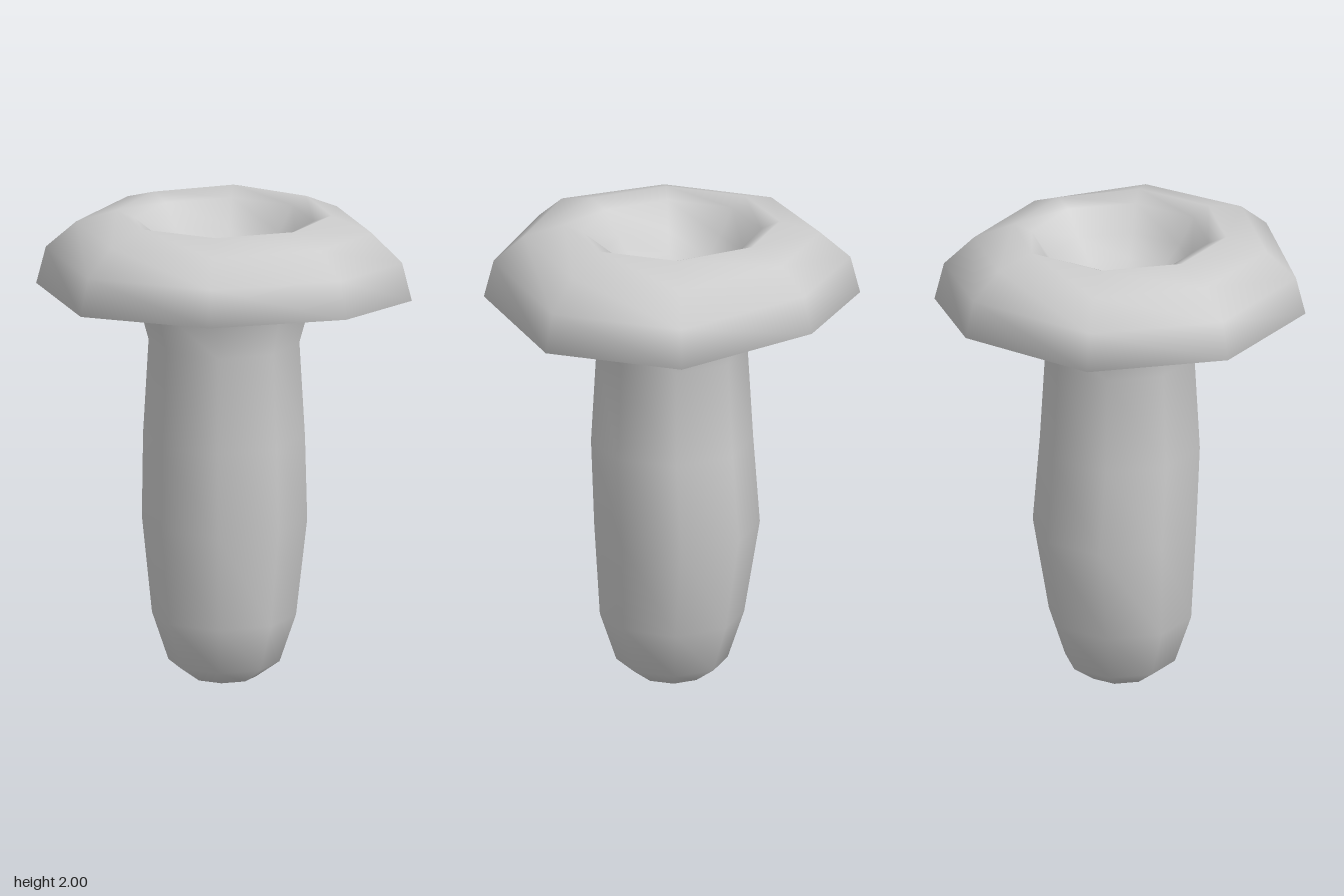
import * as THREE from 'three';
import { mergeVertices } from 'three/addons/utils/BufferGeometryUtils.js';

const SIDES = 8;

// Eight-sided turned surface, bent by a rule and smoothed across the seam
function turned(name, profile, bend) {
  let geo = new THREE.LatheGeometry(profile.map(([r, y]) => new THREE.Vector2(r, y)), SIDES);
  geo.deleteAttribute('uv');
  geo.deleteAttribute('normal');
  const pos = geo.attributes.position;
  const v = new THREE.Vector3();
  for (let i = 0; i < pos.count; i++) {
    v.fromBufferAttribute(pos, i);
    bend(v, Math.floor(i / profile.length) % SIDES);
    pos.setXYZ(i, v.x, v.y, v.z);
  }
  geo = mergeVertices(geo, 1e-4);
  geo.computeVertexNormals();
  const mesh = new THREE.Mesh(geo, new THREE.MeshStandardMaterial({ color: 0xcccccc, side: THREE.DoubleSide }));
  mesh.name = name;
  return mesh;
}

export function createModel() {
  const group = new THREE.Group();
  group.name = 'mushroom';

  // Stem: rounded foot, slight belly, flared top; the belly leans to the back
  group.add(turned('stem', [
    [0, 0], [0.135, 0.025], [0.23, 0.09], [0.298, 0.29], [0.342, 0.69],
    [0.335, 1.05], [0.312, 1.45], [0.37, 1.66], [0.41, 1.76],
  ], (v) => {
    v.z -= 0.028 * Math.max(0, 1 - Math.abs(v.y - 0.69) / 0.37);
  }));

  // Cap: hollow underside, thin rim, domed top and central dip; the rim is uneven
  const rimLift = [0.015, 0.005, -0.05, -0.05, 0.015, -0.005, -0.005, -0.005];
  group.add(turned('cap', [
    [0.41, 1.76], [0.58, 1.775], [0.72, 1.73], [0.777, 1.685], [0.737, 1.84], [0.612, 1.948],
    [0.445, 1.998], [0.37, 1.965], [0.3, 1.86], [0.22, 1.78], [0.11, 1.74], [0, 1.73],
  ], (v, side) => {
    v.y += rimLift[side] * Math.max(0, (Math.hypot(v.x, v.z) - 0.4) / 0.377);
  }));

  return group;
}
